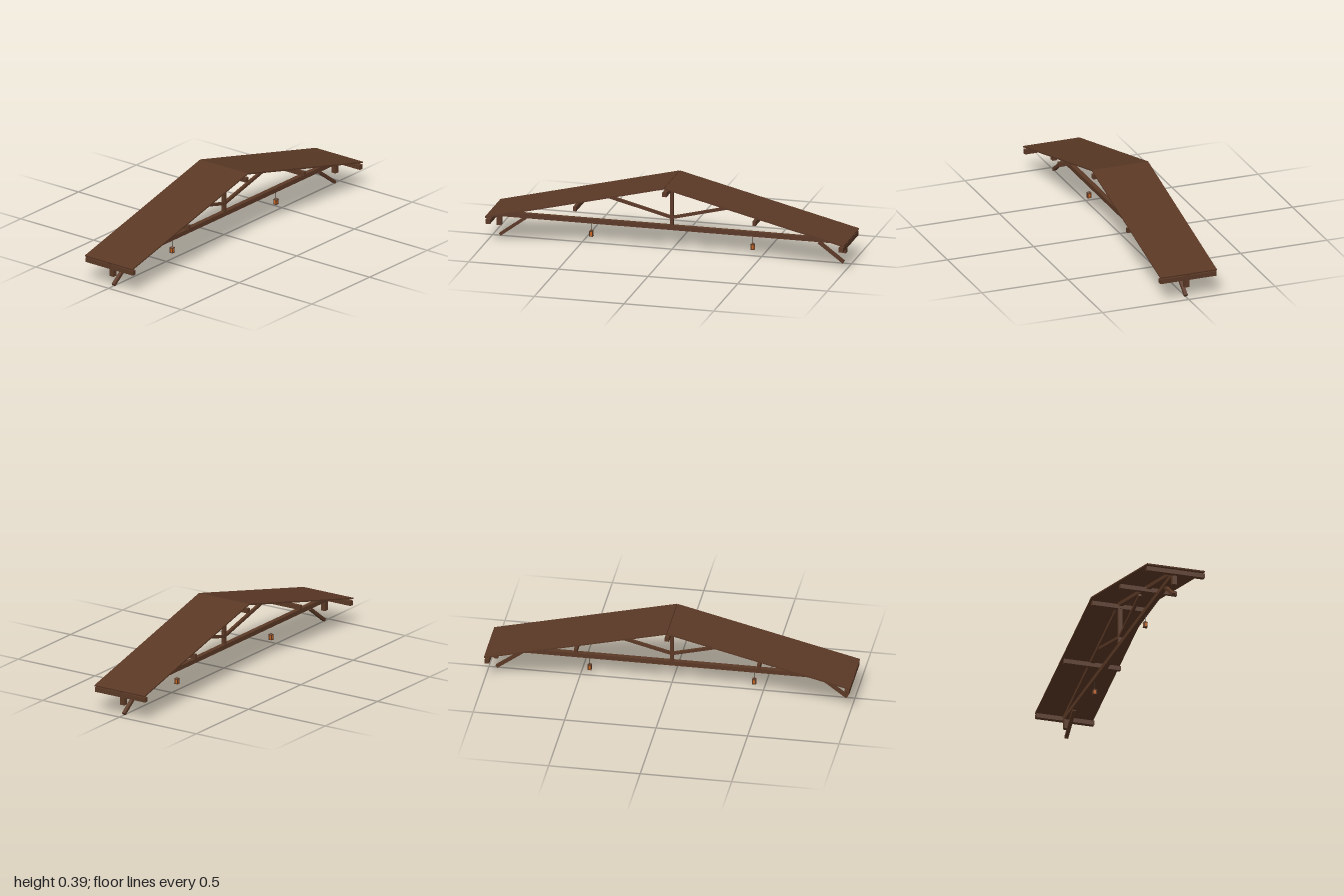
import * as THREE from 'three';

const wood = new THREE.MeshStandardMaterial({ color: 0x5a3825 });
wood.name = 'brown wood';
const iron = new THREE.MeshStandardMaterial({ color: 0x2a1d16 });
iron.name = 'dark iron';
const glow = new THREE.MeshStandardMaterial({ color: 0xc8641e });
glow.name = 'amber glow';

const SLOPE = Math.atan2(0.244, 0.998);
const DEPTH = 0.326;

function box(parent, name, size, pos, material = wood) {
  const mesh = new THREE.Mesh(new THREE.BoxGeometry(...size), material);
  mesh.name = name;
  mesh.position.set(...pos);
  parent.add(mesh);
  return mesh;
}

// Square-ended timber whose centre line runs between two points in the xy plane
function timber(parent, name, [x1, y1], [x2, y2], thick, depth) {
  const size = [Math.hypot(x2 - x1, y2 - y1), thick, depth];
  const mesh = box(parent, name, size, [(x1 + x2) / 2, (y1 + y2) / 2, 0]);
  mesh.rotation.z = Math.atan2(y2 - y1, x2 - x1);
  return mesh;
}

// Hanging lantern: cage with glowing core, small cap and a cord up to the beam
function lantern(x) {
  const g = new THREE.Group();
  g.name = 'lantern';
  g.position.x = x;
  box(g, 'lanternBase', [0.022, 0.003, 0.022], [0, 0.0385, 0]);
  box(g, 'lanternTop', [0.022, 0.003, 0.022], [0, 0.0645, 0]);
  box(g, 'lanternCore', [0.015, 0.023, 0.015], [0, 0.0515, 0], glow);
  for (const sx of [-1, 1]) for (const sz of [-1, 1]) {
    box(g, 'lanternPost', [0.004, 0.023, 0.004], [sx * 0.008, 0.0515, sz * 0.008]);
  }
  const cap = new THREE.Mesh(new THREE.CylinderGeometry(0.004, 0.0125, 0.007, 4), wood);
  cap.name = 'lanternCap';
  cap.rotation.y = Math.PI / 4;
  cap.position.y = 0.0695;
  g.add(cap);
  box(g, 'lanternCord', [0.0015, 0.042, 0.0015], [0, 0.093, 0], iron);
  return g;
}

export function createModel() {
  const model = new THREE.Group();
  model.name = 'roofTruss';

  // Central members
  box(model, 'tieBeam', [1.992, 0.025, 0.027], [0, 0.1245, 0]);
  box(model, 'kingPost', [0.018, 0.235, 0.022], [0, 0.2515, 0]);
  box(model, 'ridgePurlin', [0.024, 0.025, DEPTH - 0.006], [0, 0.356, 0]);

  for (const s of [-1, 1]) {
    const side = new THREE.Group();
    side.name = s > 0 ? 'leftSide' : 'rightSide';
    model.add(side);

    // Roof slab, with a narrow V left open along the ridge
    timber(side, 'roofSlab', [s * 0.001, 0.3915], [s * 0.999, 0.1475], 0.0075, DEPTH);

    // Rafter just below the slab
    const drop = (0.0038 + 0.004 + 0.010) / Math.cos(SLOPE);
    const rafterY = (x) => 0.3915 - drop - x * Math.tan(SLOPE);
    timber(side, 'rafter', [0, rafterY(0)], [s * 0.99, rafterY(0.99)], 0.02, 0.023);

    // Purlins running front to back
    box(side, 'eavePurlin', [0.025, 0.025, DEPTH], [s * 0.983, 0.1245, 0]);
    box(side, 'middlePurlin', [0.018, 0.025, DEPTH - 0.006], [s * 0.5, 0.235, 0]);

    // Diagonal strut, end post and knee brace
    timber(side, 'strut', [s * 0.004, 0.181], [s * 0.358, 0.271], 0.015, 0.016);
    box(side, 'endPost', [0.026, 0.076, 0.027], [s * 0.961, 0.099, 0]);
    timber(side, 'kneeBrace', [s * 0.958, 0.0066], [s * 0.818, 0.11], 0.016, 0.019);

    side.add(lantern(s * 0.45));
  }
  return model;
}
